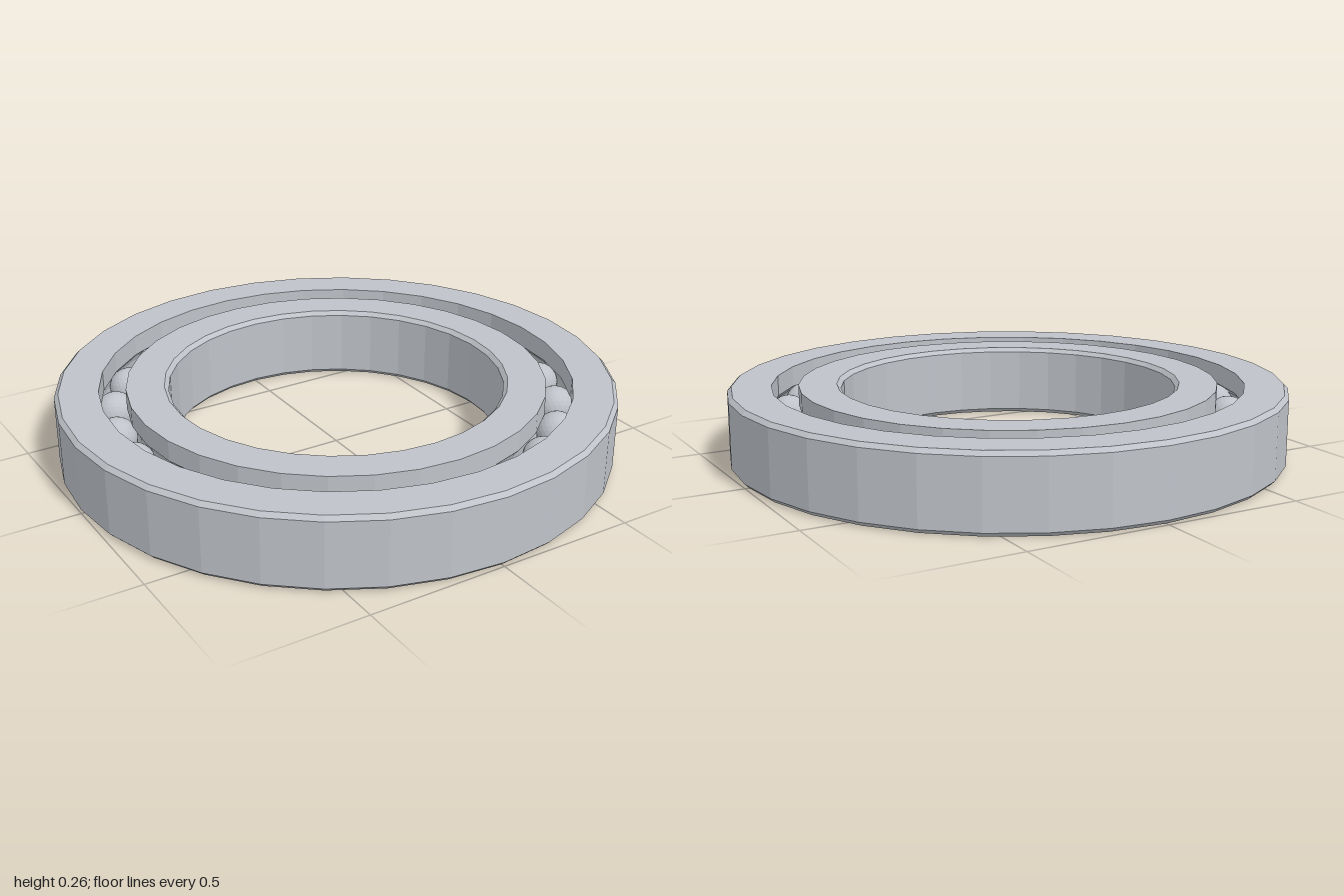
import * as THREE from 'three';

const HEIGHT = 0.265, MID = HEIGHT / 2, CHAMFER = 0.015;
const PITCH = 0.7975, BALL = 0.0725, GROOVE = 0.075;
const BALLS = 24, SEGMENTS = 32;

// faceted normals
function flat(geometry) {
  const g = geometry.index ? geometry.toNonIndexed() : geometry;
  g.computeVertexNormals();
  return g;
}

// rounded ball track: arc points around the ball centre
function groove(from, to, steps = 6) {
  return Array.from({ length: steps + 1 }, (_, i) => {
    const a = from + ((to - from) * i) / steps;
    return [PITCH + GROOVE * Math.cos(a), MID + GROOVE * Math.sin(a)];
  });
}

// closed ring from a counter-clockwise (radius, height) profile
function ring(name, profile, material) {
  const points = [...profile, profile[0]].map(([r, y]) => new THREE.Vector2(r, y));
  const mesh = new THREE.Mesh(flat(new THREE.LatheGeometry(points, SEGMENTS)), material);
  mesh.name = name;
  return mesh;
}

export function createModel() {
  const group = new THREE.Group();
  group.name = 'ballBearing';
  const steel = new THREE.MeshStandardMaterial({ color: 0xbfc3c9 });
  steel.name = 'steel';

  const innerR = 0.75, outerR = 0.845, boreR = 0.6, rimR = 1;
  const a = Math.acos((outerR - PITCH) / GROOVE);

  // outer race, chamfered on its rim
  group.add(ring('outerRace', [
    [rimR - CHAMFER, 0], [rimR, CHAMFER], [rimR, HEIGHT - CHAMFER], [rimR - CHAMFER, HEIGHT],
    [outerR, HEIGHT], ...groove(a, -a), [outerR, 0],
  ], steel));

  // inner race, chamfered on its bore
  group.add(ring('innerRace', [
    [boreR + CHAMFER, 0], [innerR, 0], ...groove(Math.PI + a, Math.PI - a), [innerR, HEIGHT],
    [boreR + CHAMFER, HEIGHT], [boreR, HEIGHT - CHAMFER], [boreR, CHAMFER],
  ], steel));

  // balls evenly spaced in the track
  const balls = new THREE.Group();
  balls.name = 'balls';
  const ballGeometry = flat(new THREE.IcosahedronGeometry(BALL, 4));
  for (let i = 0; i < BALLS; i++) {
    const t = (i / BALLS) * Math.PI * 2;
    const ball = new THREE.Mesh(ballGeometry, steel);
    ball.name = 'ball';
    ball.position.set(PITCH * Math.sin(t), MID, PITCH * Math.cos(t));
    ball.rotation.y = t;
    balls.add(ball);
  }
  group.add(balls);
  return group;
}
